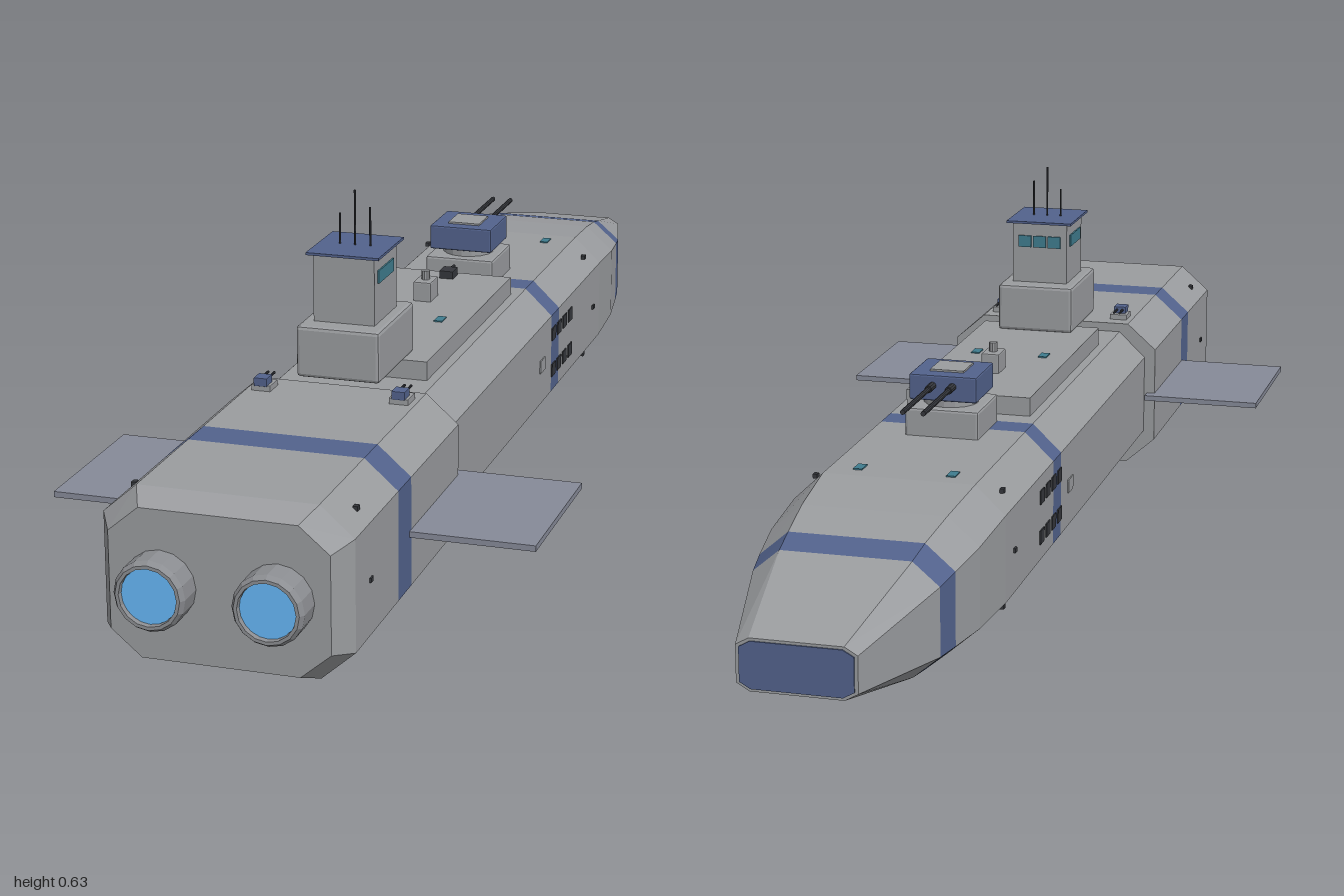
import * as THREE from 'three';
import { RoundedBoxGeometry } from 'three/addons/geometries/RoundedBoxGeometry.js';

const mat = (color, extra = {}) => new THREE.MeshStandardMaterial({ color, flatShading: true, ...extra });
const GREY = mat(0x9a9c9f), BLUE = mat(0x52628c), DARK = mat(0x35373c), TEAL = mat(0x3f7c8e);
const FIN = mat(0x868a98), GLOW = mat(0x66b8f8);
const NOZZLE = mat(0x8c8e92, { side: THREE.DoubleSide });

export function createModel() {
  const model = new THREE.Group();

  const add = (name, geometry, material, x = 0, y = 0, z = 0, parent = model) => {
    const m = new THREE.Mesh(geometry, material);
    m.name = name;
    m.position.set(x, y, z);
    parent.add(m);
    return m;
  };
  // box given by its limits on each axis
  const box = (name, material, x0, x1, y0, y1, z0, z1, parent) =>
    add(name, new THREE.BoxGeometry(x1 - x0, y1 - y0, z1 - z0), material,
      (x0 + x1) / 2, (y0 + y1) / 2, (z0 + z1) / 2, parent);
  // box with slightly broken edges
  const softBox = (name, material, w, h, d, x, y, z, parent) =>
    add(name, new RoundedBoxGeometry(w, h, d, 1, Math.min(w, h, d) * 0.07), material, x, y, z, parent);
  // cylinder lying along z
  const rodZ = (name, material, r, z0, z1, x, y, parent) => {
    const m = add(name, new THREE.CylinderGeometry(r, r, Math.abs(z1 - z0), 10), material, x, y, (z0 + z1) / 2, parent);
    m.rotation.x = Math.PI / 2;
    return m;
  };

  // Octagonal hull slices. Station: z, half width, bottom, top, chamfer x, chamfer y
  const ring = ([z, w, b, t, cx, cy]) => [
    [w, b + cy], [w, t - cy], [w - cx, t], [cx - w, t],
    [-w, t - cy], [-w, b + cy], [cx - w, b], [w - cx, b],
  ].map(([x, y]) => [x, y, z]);
  const loft = (stations, capFront, capBack) => {
    const p = [], rings = stations.map(ring);
    for (let s = 0; s < rings.length - 1; s++) {
      const a = rings[s], b = rings[s + 1];
      for (let i = 0; i < 8; i++) {
        const j = (i + 1) % 8;
        p.push(...a[i], ...b[i], ...a[j], ...a[j], ...b[i], ...b[j]);
      }
    }
    const f = rings[0], k = rings[rings.length - 1];
    for (let i = 1; i < 7; i++) {
      if (capFront) p.push(...f[0], ...f[i], ...f[i + 1]);
      if (capBack) p.push(...k[0], ...k[i + 1], ...k[i]);
    }
    const g = new THREE.BufferGeometry();
    g.setAttribute('position', new THREE.Float32BufferAttribute(p, 3));
    g.computeVertexNormals();
    return g;
  };
  const aft = z => [z, 0.182, 0.087, 0.34, 0.05, 0.044];
  const mid = z => [z, 0.163, 0.102, 0.325, 0.046, 0.044];
  const bow1 = [-0.65, 0.157, 0.106, 0.313, 0.048, 0.042];
  const bow2 = [-0.735, 0.145, 0.112, 0.299, 0.044, 0.038];
  const bow3 = [-0.785, 0.137, 0.117, 0.288, 0.04, 0.034];
  const nose = [-0.999, 0.086, 0.16, 0.236, 0.019, 0.011];
  const plate = z => [z, 0.081, 0.164, 0.232, 0.016, 0.009];

  add('engineSectionRear', loft([[0.953, 0.16, 0.102, 0.322, 0.045, 0.038], aft(0.915), aft(0.725)], true, false), GREY);
  add('engineSectionBand', loft([aft(0.725), aft(0.665)]), BLUE);
  add('engineSection', loft([aft(0.665), aft(0.43)], false, true), GREY);
  add('midHull', loft([mid(0.43), mid(-0.19)]), GREY);
  add('midBand', loft([mid(-0.19), mid(-0.24)]), BLUE);
  add('foreHull', loft([mid(-0.24), mid(-0.53), bow1, bow2]), GREY);
  add('bowBand', loft([bow2, bow3]), BLUE);
  add('bow', loft([bow3, nose], false, true), GREY);
  add('nosePlate', loft([plate(-0.997), plate(-1.001)], true, true), BLUE);

  // Engine nozzles
  const nozzleProfile = [[0.052, 0], [0.052, 0.042], [0.047, 0.05], [0.042, 0.05], [0.041, 0.034]]
    .map(([r, y]) => new THREE.Vector2(r, y));
  for (const s of [-1, 1]) {
    const engine = new THREE.Group();
    engine.name = s > 0 ? 'leftEngine' : 'rightEngine';
    engine.position.set(s * 0.085, 0.212, 0.95);
    engine.rotation.x = Math.PI / 2;
    model.add(engine);
    add('nozzle', new THREE.LatheGeometry(nozzleProfile, 16), NOZZLE, 0, 0, 0, engine);
    add('exhaustGlow', new THREE.CylinderGeometry(0.041, 0.041, 0.042, 20), GLOW, 0, 0.021, 0, engine);
  }

  // Fins and hull fittings on both sides
  for (const s of [-1, 1]) {
    const side = new THREE.Group();
    side.name = s > 0 ? 'leftFittings' : 'rightFittings';
    model.add(side);
    add('fin', new THREE.BoxGeometry(0.2, 0.009, 0.264), FIN, s * 0.268, 0.212, 0.542, side);
    for (let row = 0; row < 2; row++)
      for (let col = 0; col < 4; col++)
        add('porthole', new THREE.BoxGeometry(0.004, 0.022, 0.024), DARK, s * 0.163, 0.183 + row * 0.064, -0.203 - col * 0.037, side);
    add('sideHatch', new THREE.BoxGeometry(0.004, 0.022, 0.03), GREY, s * 0.163, 0.212, -0.13, side);
    for (const [x, y, z] of [[0.145, 0.304, -0.48], [0.145, 0.123, -0.48], [0.163, 0.213, -0.48],
      [0.162, 0.315, 0.85], [0.162, 0.112, 0.85], [0.181, 0.213, 0.85]])
      add('thruster', new THREE.BoxGeometry(0.007, 0.007, 0.01), DARK, s * x, y, z, side);
    add('deckLight', new THREE.BoxGeometry(0.014, 0.006, 0.026), TEAL, s * 0.058, 0.354, 0.115, side);
    add('foreLight', new THREE.BoxGeometry(0.014, 0.006, 0.026), TEAL, s * 0.072, 0.324, -0.49, side);
    // small point-defence gun
    softBox('smallGunBase', GREY, 0.03, 0.01, 0.034, s * 0.108, 0.344, 0.475, side);
    softBox('smallGun', BLUE, 0.021, 0.013, 0.024, s * 0.108, 0.354, 0.482, side);
    for (const d of [-0.005, 0.005]) rodZ('smallGunBarrel', DARK, 0.002, 0.472, 0.445, s * 0.108 + d, 0.355, side);
  }

  // Upper deck
  box('deck', GREY, -0.102, 0.102, 0.32, 0.355, -0.15, 0.33);
  softBox('deckHousing', GREY, 0.03, 0.034, 0.044, 0, 0.37, 0.005);
  add('deckBeacon', new THREE.CylinderGeometry(0.007, 0.007, 0.018, 10), GREY, 0, 0.393, 0.005);
  softBox('deckGun', DARK, 0.024, 0.014, 0.03, 0, 0.361, -0.125);
  rodZ('deckGunBarrel', DARK, 0.003, -0.13, -0.158, 0, 0.364);

  // Bridge tower
  const tower = new THREE.Group();
  tower.name = 'bridgeTower';
  model.add(tower);
  softBox('towerBase', GREY, 0.131, 0.08, 0.174, 0, 0.394, 0.366, tower);
  box('towerBody', GREY, -0.048, 0.048, 0.43, 0.538, 0.312, 0.42, tower);
  box('towerRoof', BLUE, -0.057, 0.057, 0.538, 0.542, 0.303, 0.428, tower);
  for (const s of [-1, 1])
    box('sideWindow', TEAL, s * 0.049 - 0.0015, s * 0.049 + 0.0015, 0.496, 0.516, 0.332, 0.404, tower);
  for (const x of [-0.026, 0, 0.026])
    box('forwardWindow', TEAL, x - 0.011, x + 0.011, 0.496, 0.516, 0.309, 0.313, tower);
  for (const [x, top] of [[-0.024, 0.59], [0, 0.627], [0.024, 0.602]])
    add('antenna', new THREE.CylinderGeometry(0.0016, 0.0016, top - 0.54, 6), DARK, x, (top + 0.54) / 2, 0.365, tower);

  // Twin gun turret, built upright; dir = -1 hangs it under the hull
  const turret = (name, y, z, dir) => {
    const g = new THREE.Group();
    g.name = name;
    g.position.set(0, y, z);
    if (dir < 0) g.rotation.z = Math.PI;
    model.add(g);
    softBox('turretMount', GREY, 0.118, 0.058, 0.116, 0, 0.015, dir < 0 ? 0.01 : 0, g);
    add('turretRing', new THREE.CylinderGeometry(0.043, 0.043, 0.016, 16), GREY, 0, 0.05, 0, g);
    softBox('turretBody', BLUE, 0.108, 0.041, 0.102, 0, 0.076, 0, g);
    box('turretHatch', GREY, -0.027, 0.027, 0.09, 0.0995, -0.026, 0.03, g);
    for (const x of [-0.016, 0.016]) {
      rodZ('gunBarrel', DARK, 0.004, -0.045, -0.21, x, 0.08, g);
      rodZ('gunSleeve', DARK, 0.006, -0.045, -0.075, x, 0.08, g);
    }
  };
  turret('upperTurret', 0.325, -0.245, 1);
  turret('lowerTurret', 0.1, -0.067, -1);

  // Belly sensor
  softBox('bellySensorBase', GREY, 0.034, 0.014, 0.036, 0, 0.096, 0.365);
  softBox('bellySensor', BLUE, 0.021, 0.014, 0.024, 0, 0.084, 0.367);
  rodZ('bellySensorBarrel', DARK, 0.002, 0.36, 0.325, 0, 0.085);

  return model;
}
